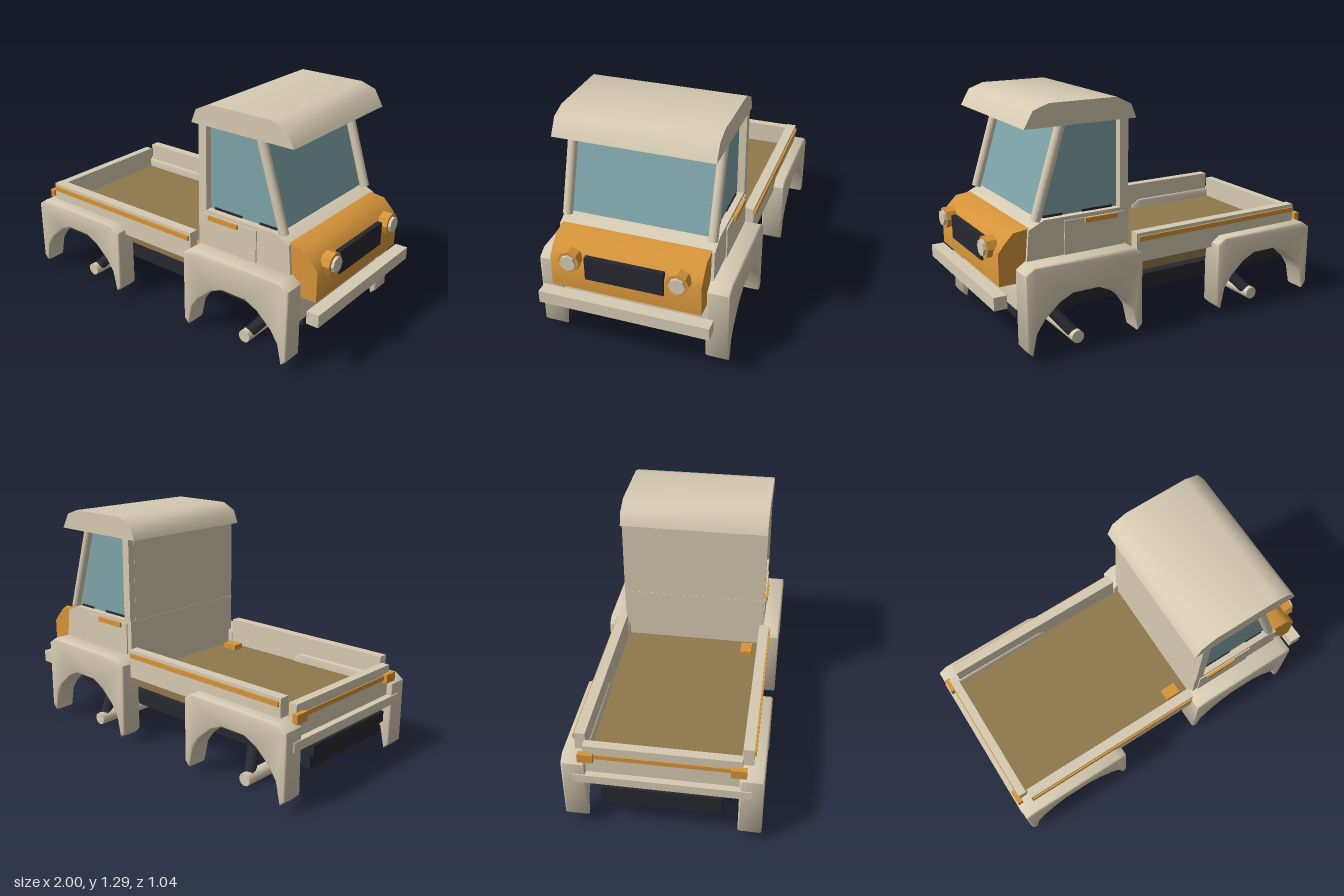
import * as THREE from 'three';
import { toCreasedNormals } from 'three/addons/utils/BufferGeometryUtils.js';

const mat = (name, color) => {
  const m = new THREE.MeshStandardMaterial({ color });
  m.name = name;
  return m;
};

export function createModel() {
  const cream = mat('cream paint', 0xd6cab2);
  const orange = mat('orange paint', 0xd6943a);
  const brown = mat('bed brown', 0x8f784c);
  const black = mat('black', 0x272730);
  const glass = mat('blue glass', 0x7fa4a9);
  const model = new THREE.Group();
  model.name = 'utilityTruck';

  const add = (name, geometry, material) => {
    const m = new THREE.Mesh(geometry, material);
    m.name = name;
    model.add(m);
    return m;
  };
  // Box from its lower and upper limits on each axis
  const box = (name, material, x0, x1, y0, y1, z0, z1) => {
    const m = add(name, new THREE.BoxGeometry(x1 - x0, y1 - y0, z1 - z0), material);
    m.position.set((x0 + x1) / 2, (y0 + y1) / 2, (z0 + z1) / 2);
    return m;
  };
  // Side profile in x and y, extruded from z0 to z1
  const slab = (name, material, points, z0, z1, bevel = 0) => {
    const shape = new THREE.Shape(points.map(p => new THREE.Vector2(...p)));
    const g = new THREE.ExtrudeGeometry(shape, {
      depth: z1 - z0 - 2 * bevel, bevelEnabled: bevel > 0, bevelSize: bevel,
      bevelThickness: bevel, bevelOffset: -bevel, bevelSegments: 2,
    });
    g.translate(0, 0, z0 + bevel);
    return add(name, toCreasedNormals(g, 0.9), material);
  };
  // Round rod between two points
  const rod = (name, material, a, b, r, sides = 12) => {
    const p = new THREE.Vector3(...a), q = new THREE.Vector3(...b);
    const d = q.clone().sub(p);
    const m = add(name, new THREE.CylinderGeometry(r, r, d.length(), sides), material);
    m.position.copy(p).add(q).multiplyScalar(0.5);
    m.quaternion.setFromUnitVectors(new THREE.Vector3(0, 1, 0), d.normalize());
    return m;
  };

  // Chassis and rear plate
  box('chassis', black, -0.98, 0.82, 0.17, 0.26, -0.31, 0.31);
  box('rearPlate', black, -1, -0.97, 0.24, 0.30, -0.31, 0.31);

  // Axles with slanted struts
  for (const x of [-0.65, 0.52]) {
    rod('axle', cream, [x, 0.036, -0.42], [x, 0.036, 0.42], 0.036);
    for (const s of [-1, 1])
      rod('axleStrut', black, [x + 0.13, 0.22, s * 0.18], [x, 0.04, s * 0.38], 0.032);
  }

  // Fenders with wheel arches
  const half = [[0.075, 0.335], [0.15, 0.30], [0.235, 0.225], [0.28, 0.16], [0.307, 0.04], [0.337, 0.07]];
  const fender = (cx, top) => {
    const side = [...half, [0.337, top - 0.035], [0.285, top]];
    const outline = [...side, ...side.map(([x, y]) => [-x, y]).reverse()];
    return outline.map(([x, y]) => [x + cx, y]);
  };
  for (const [name, cx, top] of [['rearFender', -0.652, 0.46], ['frontFender', 0.518, 0.51]]) {
    slab(name, cream, fender(cx, top), 0.395, 0.52, 0.01);
    slab(name, cream, fender(cx, top), -0.52, -0.395, 0.01);
  }

  // Cargo bed
  box('bedFloor', brown, -0.92, 0.21, 0.33, 0.405, -0.405, 0.405);
  box('tailgate', cream, -0.96, -0.913, 0.36, 0.53, -0.405, 0.405);
  box('tailgateStripe', orange, -0.966, -0.96, 0.455, 0.48, -0.40, 0.40);
  box('bedCap', orange, 0.07, 0.16, 0.405, 0.435, 0.30, 0.365);
  for (const s of [-1, 1]) {
    const c = s * 0.43;
    box('bedSide', cream, -0.905, 0.18, 0.40, 0.562, c - 0.028, c + 0.028);
    const o = s * 0.463;
    box('bedSideStripe', orange, -0.895, 0.17, 0.518, 0.544, o - 0.005, o + 0.005);
    box('tailLight', orange, -0.985, -0.955, 0.44, 0.49, s * 0.39 - 0.04, s * 0.39 + 0.04);
  }

  // Bumpers
  box('frontBumper', cream, 0.93, 1, 0.305, 0.375, -0.46, 0.46);
  box('rearBumper', cream, -0.995, -0.955, 0.31, 0.36, -0.46, 0.46);

  // Cab body
  slab('cabBody', cream, [[0.21, 0.33], [0.78, 0.33], [0.80, 0.24], [0.84, 0.24], [0.84, 0.40],
    [0.80, 0.50], [0.785, 0.67], [0.70, 0.71], [0.21, 0.71]], -0.418, 0.418);
  box('backPanel', cream, 0.212, 0.25, 0.70, 1.18, -0.38, 0.38);
  slab('cabGlass', glass, [[0.25, 0.71], [0.715, 0.71], [0.57, 1.18], [0.25, 1.18]], -0.38, 0.38);
  for (const s of [-1, 1]) {
    const c = s * 0.421;
    box('door', cream, 0.242, 0.59, 0.50, 0.69, c - 0.004, c + 0.004);
    box('doorHandle', orange, 0.285, 0.475, 0.665, 0.69, s * 0.428 - 0.009, s * 0.428 + 0.009);
    rod('frontPillar', cream, [0.575, 1.22, s * 0.393], [0.738, 0.705, s * 0.393], 0.026);
    box('rearPillar', cream, 0.213, 0.262, 0.70, 1.18, s * 0.393 - 0.027, s * 0.393 + 0.027);
    box('windowSeal', black, 0.29, 0.47, 0.709, 0.722, s * 0.381 - 0.004, s * 0.381 + 0.004);
    box('windowSeal', black, 0.58, 0.69, 0.709, 0.722, s * 0.381 - 0.004, s * 0.381 + 0.004);
  }

  // Roof
  slab('roof', cream, [[0.165, 1.175], [0.795, 1.175], [0.745, 1.262], [0.66, 1.292],
    [0.28, 1.292], [0.195, 1.25]], -0.42, 0.42);

  // Nose with grille and headlights
  slab('hood', orange, [[0.775, 0.40], [0.945, 0.40], [0.945, 0.57], [0.915, 0.61],
    [0.86, 0.665], [0.765, 0.676]], -0.402, 0.402);
  box('grille', black, 0.93, 0.958, 0.482, 0.612, -0.21, 0.21);
  for (const s of [-1, 1]) {
    const z = s * 0.288;
    rod('headlightRing', orange, [0.92, 0.58, z], [0.975, 0.58, z], 0.06, 8);
    rod('headlightLens', cream, [0.96, 0.58, z], [0.99, 0.58, z], 0.043, 8);
  }
  model.traverse(o => {
    if (/^headlight/.test(o.name)) o.geometry = toCreasedNormals(o.geometry, 0.5);
  });
  return model;
}
